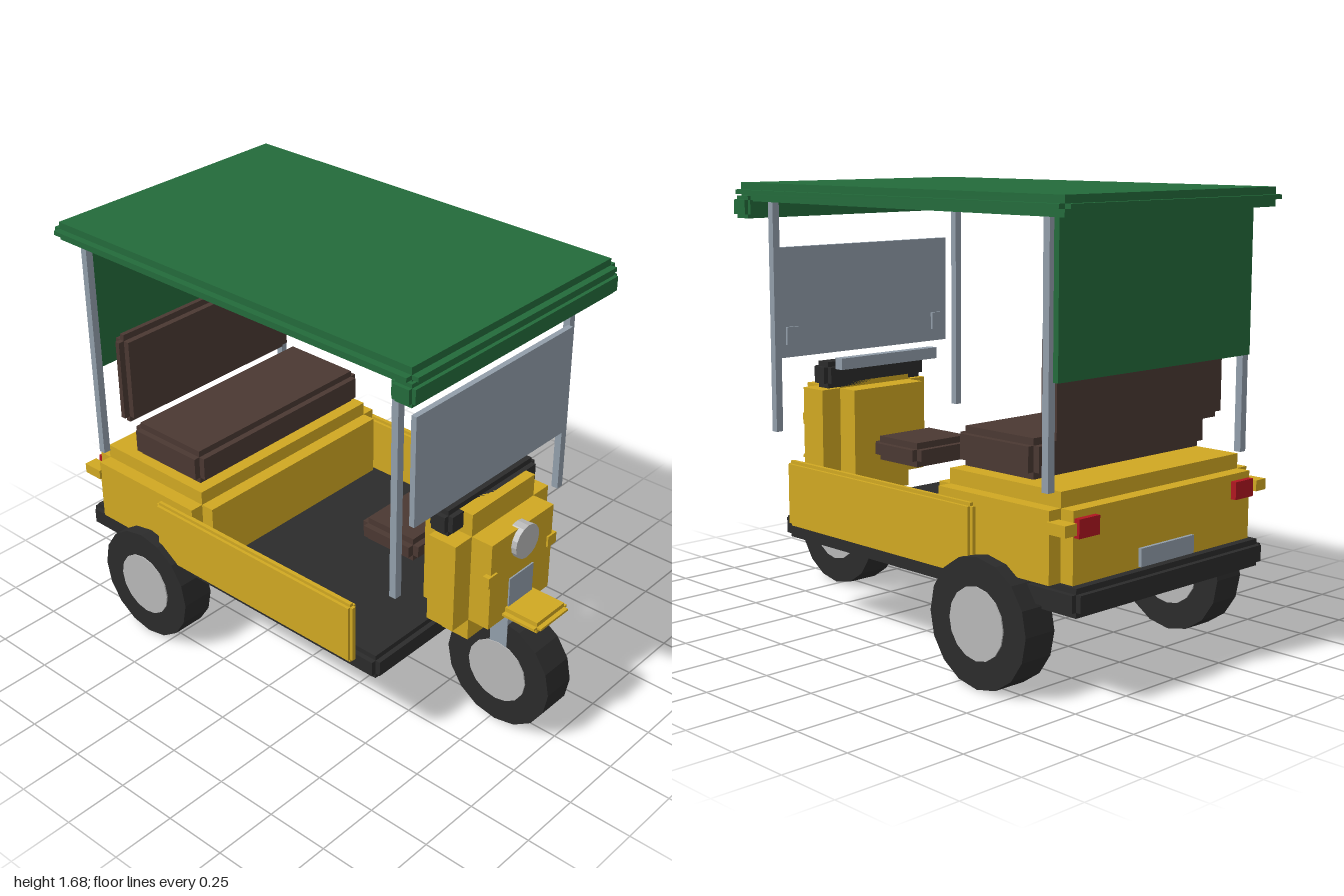
import * as THREE from 'three';

const mat = (name, color) => {
  const m = new THREE.MeshStandardMaterial({ color });
  m.name = name;
  return m;
};

export function createModel() {
  const yellow = mat('yellow paint', 0xd0a822);
  const green = mat('green canopy', 0x236b3b);
  const black = mat('black rubber', 0x2b2b2b);
  const brown = mat('brown upholstery', 0x4a3832);
  const steel = mat('grey steel', 0x929eaa);
  const silver = mat('light silver', 0xb8b8b8);
  const red = mat('red lamp', 0xb01620);

  const root = new THREE.Group();
  root.name = 'threeWheeler';

  // Plain box given by its extents
  function box(name, m, [x0, x1], [y0, y1], [z0, z1], parent = root) {
    const mesh = new THREE.Mesh(new THREE.BoxGeometry(x1 - x0, y1 - y0, z1 - z0), m);
    mesh.position.set((x0 + x1) / 2, (y0 + y1) / 2, (z0 + z1) / 2);
    mesh.name = name;
    parent.add(mesh);
  }

  // Step-edged block: three crossed boxes, each full length along one axis only
  function stepped(name, m, xs, ys, zs, b) {
    const g = new THREE.Group();
    g.name = name;
    const inset = ([a, c]) => [a + b, c - b];
    box(name + 'Long', m, xs, inset(ys), inset(zs), g);
    box(name + 'Tall', m, inset(xs), ys, inset(zs), g);
    box(name + 'Wide', m, inset(xs), inset(ys), zs, g);
    root.add(g);
  }

  // Faceted cylinder lying along z or x
  function disc(name, m, r, len, axis, x, y, z, parent = root) {
    const geo = new THREE.CylinderGeometry(r, r, len, 16).toNonIndexed();
    if (axis === 'z') geo.rotateX(Math.PI / 2);
    else geo.rotateZ(Math.PI / 2);
    geo.computeVertexNormals();
    const mesh = new THREE.Mesh(geo, m);
    mesh.position.set(x, y, z);
    mesh.name = name;
    parent.add(mesh);
  }

  const mid = (w) => [-w, w];

  // Wheels
  for (const [name, x, z] of [['frontWheel', 0.77, 0], ['rearLeftWheel', -0.61, 0.503], ['rearRightWheel', -0.61, -0.503]]) {
    const wheel = new THREE.Group();
    wheel.name = name;
    disc(name + 'Tyre', black, 0.232, 0.136, 'z', x, 0.235, z, wheel);
    disc(name + 'Hub', silver, 0.13, 0.146, 'z', x, 0.235, z, wheel);
    root.add(wheel);
  }

  // Chassis and rear body
  stepped('floor', black, [-1, 0.55], [0.315, 0.415], mid(0.5), 0.02);
  stepped('rearBody', yellow, [-0.95, -0.31], [0.36, 0.72], mid(0.52), 0.055);

  // Seats
  stepped('rearSeat', brown, [-0.76, -0.38], [0.73, 0.87], mid(0.455), 0.025);
  stepped('backrest', brown, [-0.84, -0.77], [0.85, 1.23], mid(0.455), 0.025);
  stepped('driverSeat', brown, [0.16, 0.43], [0.59, 0.685], mid(0.155), 0.025);

  // Front cowl, fork and mudguard
  stepped('cowl', yellow, [0.5, 0.8], [0.41, 0.95], mid(0.27), 0.09);
  box('fork', steel, [0.73, 0.806], [0.235, 0.665], mid(0.07));
  stepped('mudguard', yellow, [0.77, 0.96], [0.5, 0.545], mid(0.1), 0.018);
  disc('headlight', silver, 0.068, 0.05, 'x', 0.797, 0.8, 0);

  // Handlebar and dash
  stepped('dash', black, [0.57, 0.67], [0.865, 0.97], mid(0.26), 0.02);
  box('handlebar', steel, [0.49, 0.53], [0.95, 0.995], mid(0.25));

  // Canopy
  stepped('roof', green, [-1, 0.75], [1.61, 1.68], mid(0.57), 0.027);
  stepped('visor', green, [0.65, 0.75], [1.545, 1.63], mid(0.57), 0.015);
  box('rearCurtain', green, [-0.91, -0.885], [1.08, 1.61], mid(0.5));
  box('windshield', steel, [0.635, 0.657], [1.0, 1.43], mid(0.435));

  // Mirrored parts
  for (const s of [1, -1]) {
    const side = s > 0 ? 'left' : 'right';
    const zr = (a, b) => (s > 0 ? [a, b] : [-b, -a]);
    stepped(side + 'SidePanel', yellow, [-0.55, 0.467], [0.38, 0.635], zr(0.505, 0.545), 0.012);
    box(side + 'RearPost', steel, [-0.888, -0.86], [0.72, 1.62], zr(0.49, 0.52));
    box(side + 'FrontPost', steel, [0.598, 0.626], [0.72, 1.62], zr(0.46, 0.49));
    box(side + 'WindshieldBracket', steel, [0.625, 0.636], [1.05, 1.12], zr(0.35, 0.41));
    box(side + 'FrontIndicator', yellow, [0.78, 0.808], [0.69, 0.735], zr(0.15, 0.2));
    box(side + 'TailLight', red, [-0.972, -0.945], [0.575, 0.64], zr(0.36, 0.46));
    box(side + 'RearIndicator', yellow, [-0.975, -0.89], [0.59, 0.63], zr(0.475, 0.53));
  }
  box('rearPlate', steel, [-0.963, -0.945], [0.42, 0.485], mid(0.14));

  return root;
}
